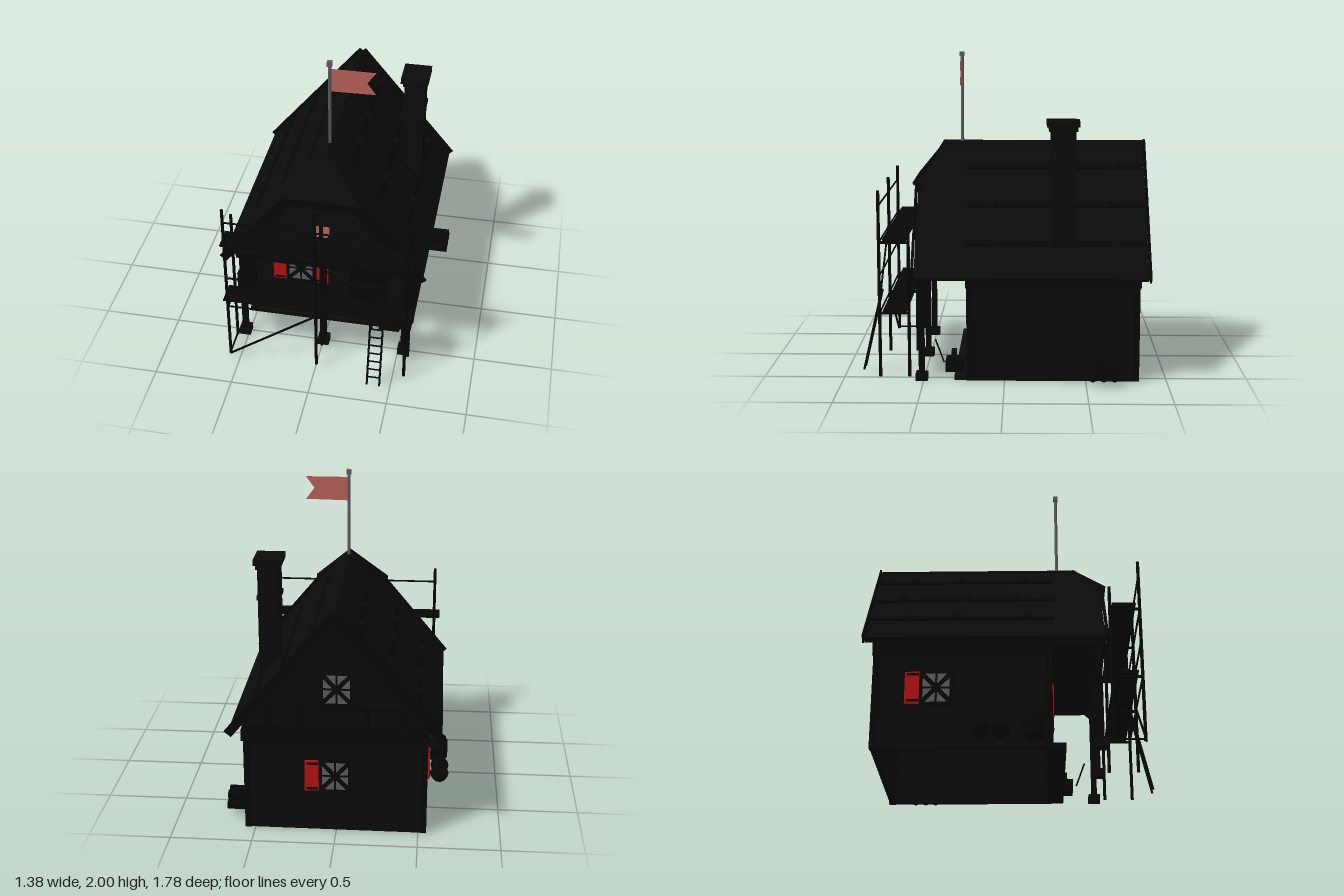
import * as THREE from 'three';

const mat = (name, color, extra = {}) => Object.assign(new THREE.MeshStandardMaterial({ color, ...extra }), { name });

export function createModel() {
  const root = new THREE.Group();
  root.name = 'house';
  const plaster = mat('dark plaster', 0x0b0b0b);
  const timber = mat('dark timber', 0x070707);
  const roofMat = mat('dark roof', 0x0a0a0a, { side: THREE.DoubleSide });
  const red = mat('shutter red', 0xb41010);
  const glass = mat('window grey', 0x5c5c5c);
  const metal = mat('pole grey', 0x5c5c5c);
  const cloth = mat('faded red cloth', 0xb8605a, { side: THREE.DoubleSide });

  const add = (name, geo, material, x = 0, y = 0, z = 0, parent = root) => {
    const m = new THREE.Mesh(geo, material);
    m.name = name;
    m.position.set(x, y, z);
    parent.add(m);
    return m;
  };
  // box given by its min and max corners
  const block = (name, material, x0, x1, y0, y1, z0, z1, parent = root) =>
    add(name, new THREE.BoxGeometry(x1 - x0, y1 - y0, z1 - z0), material,
      (x0 + x1) / 2, (y0 + y1) / 2, (z0 + z1) / 2, parent);
  // square or round bar between two points
  const bar = (name, material, a, b, r, sides = 6, parent = root) => {
    const p = new THREE.Vector3(...a), q = new THREE.Vector3(...b), d = q.clone().sub(p);
    const m = add(name, new THREE.CylinderGeometry(r, r, d.length(), sides), material, 0, 0, 0, parent);
    m.position.copy(p).add(q).multiplyScalar(0.5);
    m.quaternion.setFromUnitVectors(new THREE.Vector3(0, 1, 0), d.normalize());
    return m;
  };
  const shapeOf = pts => new THREE.Shape(pts.map(p => new THREE.Vector2(...p)));
  const prism = (pts, depth) => new THREE.ExtrudeGeometry(shapeOf(pts), { depth, bevelEnabled: false });

  // Ground floor shell, belt beams and step
  block('frontWall', plaster, -0.55, 0.55, 0, 0.66, 0.2, 0.23);
  block('backWall', plaster, -0.55, 0.55, 0, 0.66, -0.825, -0.795);
  for (const s of [-1, 1]) {
    add('sideWall', new THREE.BoxGeometry(0.03, 0.66, 1.055), plaster, s * 0.54, 0.33, -0.2975);
    add('sideBeam', new THREE.BoxGeometry(0.03, 0.07, 1.07), timber, s * 0.555, 0.62, -0.3);
    for (const z of [0.215, -0.81])
      add('cornerPost', new THREE.BoxGeometry(0.04, 0.6, 0.04), timber, s * 0.537, 0.3, z);
  }
  for (const z of [0.225, -0.82]) add('crossBeam', new THREE.BoxGeometry(1.13, 0.07, 0.03), timber, 0, 0.62, z);
  block('porchStep', plaster, -0.55, 0.55, 0, 0.03, 0.23, 0.31);

  // Upper storey with the overhanging front gable
  add('attic', prism([[-0.56, 0.655], [0.56, 0.655], [0.56, 0.7], [0, 1.38], [-0.56, 0.7]], 1.21), plaster, 0, 0, -0.825);
  add('frontGable', prism([[-0.56, 0.655], [0.56, 0.655], [0.56, 0.7], [0.18, 1.16], [-0.18, 1.16], [-0.56, 0.7]], 0.16), plaster, 0, 0, 0.385);
  for (const z of [0.545, -0.828]) {
    add('gableSill', new THREE.BoxGeometry(1.12, 0.045, 0.02), timber, 0, 0.68, z);
    add('gableTie', new THREE.BoxGeometry(0.84, 0.03, 0.02), timber, 0, 0.82, z);
    for (const x of [-0.4, -0.2, 0.2, 0.4])
      add('gableStud', new THREE.BoxGeometry(0.03, 0.15, 0.015), timber, x, 0.75, z);
  }

  // Roof slopes, with the front corner cut for the half hip
  const RX = 0.64, RY = 0.77, L = Math.hypot(RX, RY), T = 0.035, TOP = 1.435;
  for (const s of [-1, 1]) {
    const g = prism([[-0.875, 0], [0.4, 0], [0.55, 0.31], [0.55, L], [-0.875, L]], T);
    g.translate(0, 0, s > 0 ? -T : 0);
    const down = new THREE.Vector3(s * RX / L, -RY / L, 0), along = new THREE.Vector3(0, 0, 1);
    g.applyMatrix4(new THREE.Matrix4().makeBasis(along, down, along.clone().cross(down)));
    add('roofSlope', g, roofMat, 0, TOP, 0);
    // verge boards at both ends
    const verge = (name, t0, z) => {
      const m = add(name, new THREE.BoxGeometry(L * (1 - t0), 0.055, 0.012), timber,
        s * RX * (1 + t0) / 2, TOP - RY * (1 + t0) / 2 - 0.012, z);
      m.rotation.z = -s * Math.atan2(RY, RX);
    };
    verge('backVerge', 0, -0.885);
    verge('frontVerge', 0.33, 0.563);
    // roof battens and stones
    [0.135, 0.315, 0.49].forEach((x, row) => {
      const y = TOP - x * RY / RX;
      const b = add('roofBatten', new THREE.BoxGeometry(0.03, 0.02, 1.12), timber, s * x, y + 0.005, -0.31);
      b.rotation.z = -s * Math.atan2(RY, RX);
      for (const [za, zb] of [[-0.64, -0.695], [-0.34, -0.285], [0.075, 0.02]]) {
        const odd = (row === 1) === (s < 0);
        const st = add('roofStone', new THREE.CylinderGeometry(0.022, 0.032, 0.032, 8), roofMat,
          s * (x + 0.012), y + 0.018, odd ? zb : za);
        st.scale.z = 0.95;
      }
    });
    // porch knee brace
  }
  const hip = new THREE.BufferGeometry();
  hip.setAttribute('position', new THREE.Float32BufferAttribute(
    [0, 1.44, 0.385, -0.245, 1.19, 0.585, 0.245, 1.19, 0.585, 0, 1.41, 0.38, -0.245, 1.17, 0.575, 0.245, 1.17, 0.575], 3));
  hip.setIndex([0, 1, 2, 3, 5, 4, 1, 4, 5, 1, 5, 2, 0, 2, 5, 0, 5, 3, 0, 3, 4, 0, 4, 1]);
  const hipFlat = hip.toNonIndexed();
  hipFlat.computeVertexNormals();
  add('hipRoof', hipFlat, roofMat);
  block('hipBoard', timber, -0.235, 0.235, 1.13, 1.18, 0.53, 0.57);

  // Chimney
  const chimney = (name, w, d, y0, y1) => block(name, plaster, 0.44 - w / 2, 0.44 + w / 2, y0, y1, -0.355 - d / 2, -0.355 + d / 2);
  chimney('chimneyStack', 0.13, 0.155, 0.75, 1.57);
  chimney('chimneyBand', 0.145, 0.17, 1.345, 1.37);
  chimney('chimneyNeck', 0.15, 0.175, 1.54, 1.57);
  chimney('chimneyCap', 0.175, 0.2, 1.57, 1.605);

  // Flag
  bar('flagPole', metal, [0, 1.42, 0.28], [0, 1.99, 0.28], 0.01, 8);
  block('poleTop', metal, -0.015, 0.015, 1.97, 2, 0.265, 0.295);
  add('flag', new THREE.ShapeGeometry(shapeOf([[0.005, 1.795], [0.28, 1.8], [0.225, 1.875], [0.28, 1.95], [0.005, 1.95]])), cloth, 0, 0, 0.28);

  // Windows: panes, lattice, frame and shutters; each faces its local +z
  const addWindow = (x, y, z, turn, shutters) => {
    const g = new THREE.Group();
    g.name = 'window';
    g.position.set(x, y, z);
    g.rotation.y = turn;
    root.add(g);
    const w = 0.175, h = 0.185;
    for (const side of [0.004, -0.034]) {
      add('pane', new THREE.BoxGeometry(w, h, 0.006), glass, 0, 0, side, g);
      add('mullion', new THREE.BoxGeometry(0.012, h, 0.01), timber, 0, 0, side, g);
      add('transom', new THREE.BoxGeometry(w, 0.012, 0.01), timber, 0, 0, side, g);
    }
    for (const s of [-1, 1]) {
      add('lattice', new THREE.BoxGeometry(Math.hypot(w, h), 0.026, 0.012), timber, 0, 0, 0.006, g).rotation.z = s * Math.atan2(h, w);
      add('frameSide', new THREE.BoxGeometry(0.016, h + 0.03, 0.02), timber, s * w / 2, 0, 0.005, g);
      add('frameRail', new THREE.BoxGeometry(w + 0.016, 0.016, 0.02), timber, 0, s * (h / 2 + 0.007), 0.005, g);
    }
    for (const s of shutters) {
      add('shutter', new THREE.BoxGeometry(0.085, 0.2, 0.012), red, s * 0.143, 0, 0.008, g);
      for (const k of [-1, 1])
        add('shutterBatten', new THREE.BoxGeometry(0.07, 0.014, 0.008), timber, s * 0.138, k * 0.083, 0.014, g);
    }
  };
  addWindow(-0.21, 0.365, 0.23, 0, [-1, 1]);
  addWindow(0, 0.37, -0.825, Math.PI, [-1]);
  addWindow(-0.01, 0.94, -0.825, Math.PI, []);
  addWindow(-0.555, 0.37, -0.45, -Math.PI / 2, [-1]);

  // Small front gable light in two halves
  for (const s of [-1, 1]) {
    const pts = [[s * 0.008, 0.9], [s * 0.03, 0.9], [s * 0.047, 0.925], [s * 0.047, 0.985], [s * 0.008, 0.985]];
    add('gableLight', new THREE.ShapeGeometry(shapeOf(pts)), cloth, 0, 0, 0.55);
  }

  // Door with planks
  block('door', timber, 0.12, 0.38, 0.03, 0.54, 0.23, 0.238);
  for (const y of [0.12, 0.27, 0.42]) block('doorBand', plaster, 0.12, 0.38, y, y + 0.02, 0.238, 0.243);

  // Porch posts with feet and braces
  for (const x of [-0.53, 0, 0.53]) {
    block('postFoot', plaster, x - 0.037, x + 0.037, 0, 0.045, 0.475, 0.55);
    block('porchPost', timber, x - 0.018, x + 0.018, 0.03, 0.66, 0.495, 0.531);
    bar('postBrace', timber, [x, 0.59, 0.505], [x, 0.67, 0.42], 0.014, 4);
  }

  // Scaffold
  const SX = [-0.568, 0, 0.568];
  for (const x of SX) {
    bar('scaffoldPole', timber, [x, 0.03, 0.765], [x, 1.19, 0.765], 0.01, 8);
    bar('scaffoldPole', timber, [x, 0.03, 0.585], [x, 1.02, 0.585], 0.01, 8);
    for (const y of [0.43, 0.87]) bar('transomPole', timber, [x, y, 0.58], [x, y, 0.77], 0.009);
  }
  bar('footPole', timber, [SX[0], 0.04, 0.585], [SX[0], 0.04, 0.765], 0.006);
  for (const y of [0.885, 0.445]) {
    block('scaffoldDeck', timber, -0.605, 0.605, y, y + 0.012, 0.595, 0.74);
    bar('ledgerPole', timber, [SX[0], y - 0.015, 0.765], [SX[2], y - 0.015, 0.765], 0.006);
  }
  for (const y of [0.66, 1.095]) bar('guardRail', timber, [SX[0], y, 0.765], [SX[2], y, 0.765], 0.006);
  bar('scaffoldBrace', timber, [SX[0], 0.03, 0.77], [0, 0.44, 0.77], 0.007);
  bar('scaffoldBrace', timber, [SX[2], 0.45, 0.77], [0, 0.87, 0.77], 0.006);

  // Ladder
  for (const x of [0.35, 0.43]) bar('ladderRail', timber, [x, 0.03, 0.885], [x, 0.53, 0.77], 0.007);
  for (let i = 1; i < 9; i++) {
    const t = i / 9, y = 0.03 + 0.5 * t, z = 0.885 - 0.115 * t;
    bar('ladderRung', timber, [0.35, y, z], [0.43, y, z], 0.005);
  }

  // Barrel and sacks on the right side, logs on the left
  const barrel = [[0, 0], [0.05, 0], [0.063, 0.05], [0.066, 0.085], [0.063, 0.12], [0.05, 0.17], [0, 0.17]].map(p => new THREE.Vector2(...p));
  add('barrel', new THREE.LatheGeometry(barrel, 10), timber, -0.622, 0.03, 0.125);
  for (const y of [0.065, 0.165]) add('barrelHoop', new THREE.CylinderGeometry(0.064, 0.064, 0.012, 10), plaster, -0.622, y, 0.125);
  for (const z of [-0.185, -0.07]) add('sack', new THREE.SphereGeometry(0.06, 8, 6), timber, -0.632, 0.085, z);
  [[3, 0.065], [2, 0.115]].forEach(([n, y]) => {
    for (let i = 0; i < n; i++) {
      const z = -0.605 + (i - (n - 1) / 2) * 0.066;
      bar('log', timber, [0.55, y, z], [0.69, y, z], 0.031, 8);
    }
  });

  // Tools on the porch
  block('chest', timber, 0.34, 0.48, 0.03, 0.1, 0.26, 0.37);
  block('anvil', plaster, 0.37, 0.45, 0.1, 0.155, 0.305, 0.335);
  bar('broom', timber, [0.3, 0.04, 0.39], [0.3, 0.19, 0.445], 0.005);

  root.position.x = 0.006;
  return root;
}
